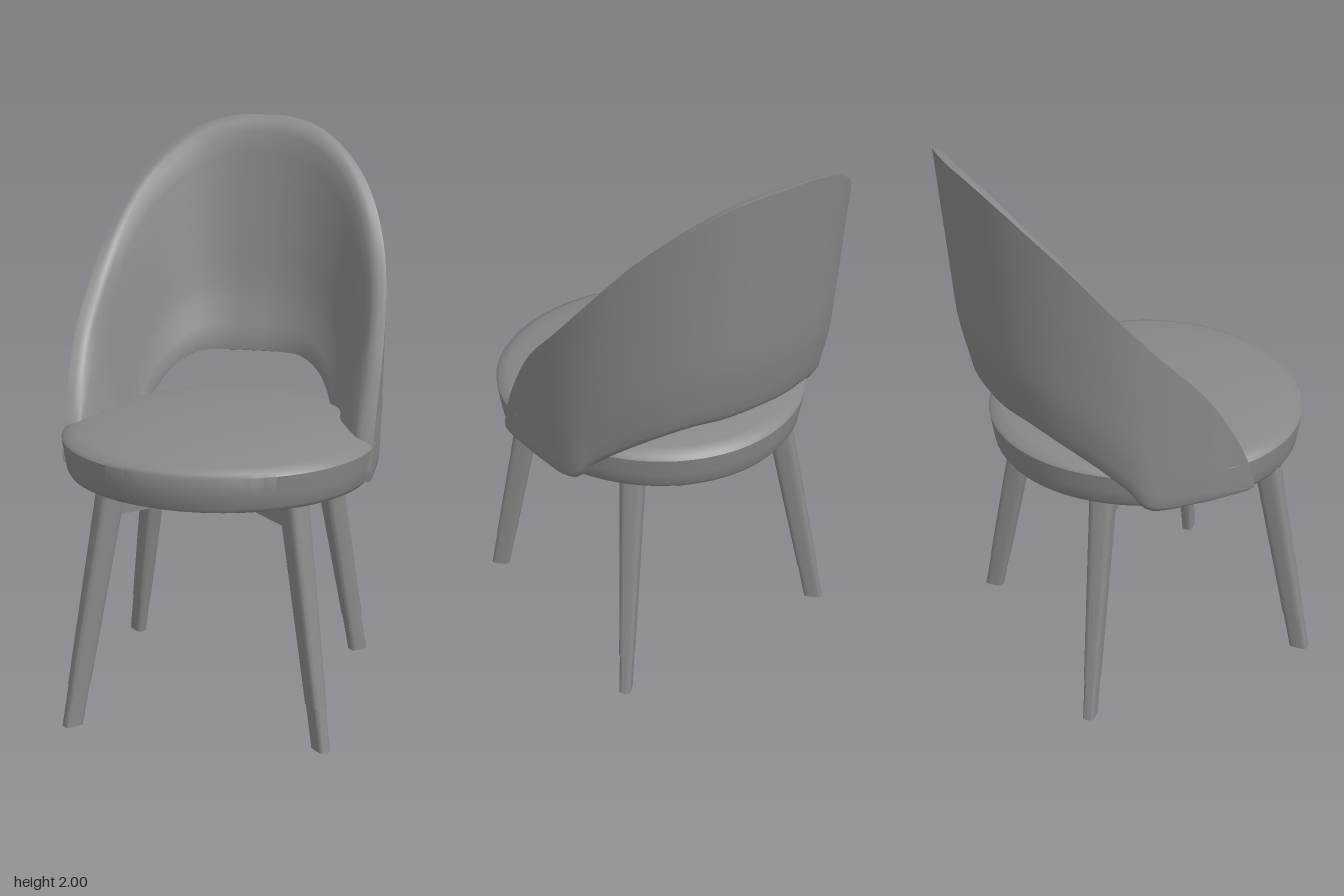
import * as THREE from 'three';
import { toCreasedNormals } from 'three/addons/utils/BufferGeometryUtils.js';

const material = new THREE.MeshStandardMaterial({ color: 0x888888 });

function addMesh(parent, name, geometry, crease = 0.7) {
  const mesh = new THREE.Mesh(toCreasedNormals(geometry, crease), material);
  mesh.name = name;
  parent.add(mesh);
  return mesh;
}

// Half of the backrest, from back centre to arm tip:
// top x, z, y, then bottom x, z, y, then thickness at the bottom
const STATIONS = [
  [0, -0.632, 2.0, 0, -0.52, 1.125, 0.088],
  [0.12, -0.622, 1.993, 0.12, -0.513, 1.125, 0.088],
  [0.24, -0.585, 1.955, 0.235, -0.48, 1.12, 0.093],
  [0.36, -0.505, 1.865, 0.34, -0.41, 1.075, 0.105],
  [0.45, -0.4, 1.745, 0.42, -0.325, 1.01, 0.125],
  [0.51, -0.28, 1.595, 0.485, -0.24, 0.935, 0.155],
  [0.54, -0.15, 1.445, 0.525, -0.165, 0.855, 0.18],
  [0.553, 0, 1.285, 0.543, 0, 0.848, 0.19],
  [0.552, 0.1, 1.135, 0.544, 0.1, 0.848, 0.155],
  [0.549, 0.17, 1.0, 0.543, 0.17, 0.85, 0.1],
  [0.545, 0.21, 0.89, 0.541, 0.21, 0.86, 0.06],
];

function mirroredCurve(toPoint) {
  const left = STATIONS.map((s) => toPoint(s));
  const right = left.slice(1).reverse().map((p) => new THREE.Vector3(-p.x, p.y, p.z));
  return new THREE.CatmullRomCurve3([...right, ...left], false, 'catmullrom', 0.5);
}

// Wrap-around shell lofted through closed cross-sections
function backrestGeometry() {
  const top = mirroredCurve((s) => new THREE.Vector3(s[0], s[2], s[1]));
  const bottom = mirroredCurve((s) => new THREE.Vector3(s[3], s[5], s[4]));
  const thickness = mirroredCurve((s) => new THREE.Vector3(0, s[6], 0));
  const steps = [0.16, 0.3, 0.45, 0.6, 0.7, 0.78, 0.88, 0.95];
  // height fraction and inward offset: outer face up, soft rim, inner face down
  const section = (w) => [
    [1, 0.025], [0.975, 0.006],
    ...[...steps].reverse().map((t) => [t, 0]),
    [0.05, 0], [0, 0],
    [0.004, 0.025], [0.025, 0.045], [0.07, 0.057],
    ...steps.map((t) => [t, 0.055 + (w - 0.055) * t]),
    [0.985, w - 0.01],
  ];
  const loop = section(0).length;
  const rows = 96;
  const positions = [];
  const indices = [];

  for (let i = 0; i <= rows; i++) {
    const u = i / rows;
    const T = top.getPoint(u);
    const B = bottom.getPoint(u);
    const tan = top.getTangent(u);
    const len = Math.hypot(tan.x, tan.z);
    for (const [t, offset] of section(thickness.getPoint(u).y)) {
      const lean = t < 0.73 ? (0.5 * t) / 0.73 : 0.5 + (0.5 * (t - 0.73)) / 0.27;
      positions.push(
        T.x + (B.x - T.x) * lean - (tan.z / len) * offset,
        T.y + (B.y - T.y) * t,
        T.z + (B.z - T.z) * lean + (tan.x / len) * offset
      );
    }
  }
  for (let i = 0; i < rows; i++) {
    for (let j = 0; j < loop; j++) {
      const a = i * loop + j;
      const b = i * loop + ((j + 1) % loop);
      indices.push(a, b, a + loop, b, b + loop, a + loop);
    }
  }
  // close both arm tips
  for (const row of [0, rows]) {
    const centre = positions.length / 3;
    const sum = [0, 0, 0];
    for (let j = 0; j < loop; j++) {
      for (let k = 0; k < 3; k++) sum[k] += positions[(row * loop + j) * 3 + k] / loop;
    }
    positions.push(...sum);
    for (let j = 0; j < loop; j++) {
      const a = row * loop + j;
      const b = row * loop + ((j + 1) % loop);
      if (row === 0) indices.push(centre, b, a);
      else indices.push(centre, a, b);
    }
  }
  const geometry = new THREE.BufferGeometry();
  geometry.setAttribute('position', new THREE.Float32BufferAttribute(positions, 3));
  geometry.setIndex(indices);
  return geometry;
}

// Domed cushion, widest ahead of its middle
function seatGeometry() {
  const profile = [
    [0, 0.845], [0.93, 0.845], [0.955, 0.85], [0.972, 0.866], [0.985, 0.91], [1, 0.972],
    [0.985, 0.984], [0.92, 0.997], [0.8, 1.013], [0.6, 1.03], [0.4, 1.04], [0.2, 1.045], [0, 1.046],
  ].map(([x, y]) => new THREE.Vector2(x, y));
  const geometry = new THREE.LatheGeometry(profile, 80);
  const p = geometry.attributes.position;
  for (let i = 0; i < p.count; i++) {
    const z = p.getZ(i);
    p.setX(i, p.getX(i) * 0.55);
    p.setZ(i, 0.12 + z * (z > 0 ? 0.51 : 0.61));
  }
  return geometry;
}

// Tapered rounded post between two centres, turned to face the way it leans;
// each half-size pair is [along the lean, across it]
function postGeometry(from, to, halfFrom, halfTo) {
  const geometry = new THREE.CylinderGeometry(1, 1, 1, 32, 1);
  const p = geometry.attributes.position;
  const out = new THREE.Vector2(from.x - to.x, from.z - to.z).normalize();
  for (let i = 0; i < p.count; i++) {
    const t = p.getY(i) + 0.5;
    const x = p.getX(i);
    const z = p.getZ(i);
    const k = Math.hypot(x, z) > 0.5 ? Math.pow(x ** 4 + z ** 4, -0.25) : 0;
    const along = x * k * THREE.MathUtils.lerp(halfFrom[0], halfTo[0], t);
    const across = z * k * THREE.MathUtils.lerp(halfFrom[1], halfTo[1], t);
    const c = from.clone().lerp(to, t);
    p.setXYZ(i, c.x + out.x * along - out.y * across, c.y, c.z + out.y * along + out.x * across);
  }
  return geometry;
}

export function createModel() {
  const chair = new THREE.Group();
  chair.name = 'chair';

  addMesh(chair, 'seat', seatGeometry());
  addMesh(chair, 'backrest', backrestGeometry(), 1.1);

  // Splayed legs with separate foot sleeves
  for (const side of [-1, 1]) {
    for (const [name, footZ, topZ] of [['frontLeg', 0.505, 0.385], ['backLeg', -0.365, -0.245]]) {
      const leg = new THREE.Group();
      leg.name = name;
      const foot = new THREE.Vector3(side * 0.437, 0, footZ);
      const head = new THREE.Vector3(side * 0.312, 0.86, topZ);
      const joint = foot.clone().lerp(head, 0.15 / 0.86);
      addMesh(leg, 'post', postGeometry(joint, head, [0.037, 0.026], [0.045, 0.043]));
      addMesh(leg, 'footSleeve', postGeometry(foot, joint, [0.034, 0.021], [0.035, 0.024]));
      chair.add(leg);
    }
  }

  // Crossed rails under the seat
  for (const side of [-1, 1]) {
    const rail = addMesh(chair, 'crossRail', new THREE.BoxGeometry(0.86, 0.105, 0.06));
    rail.position.set(0, 0.8, 0.07);
    rail.rotation.y = side * Math.PI / 4;
  }
  return chair;
}
